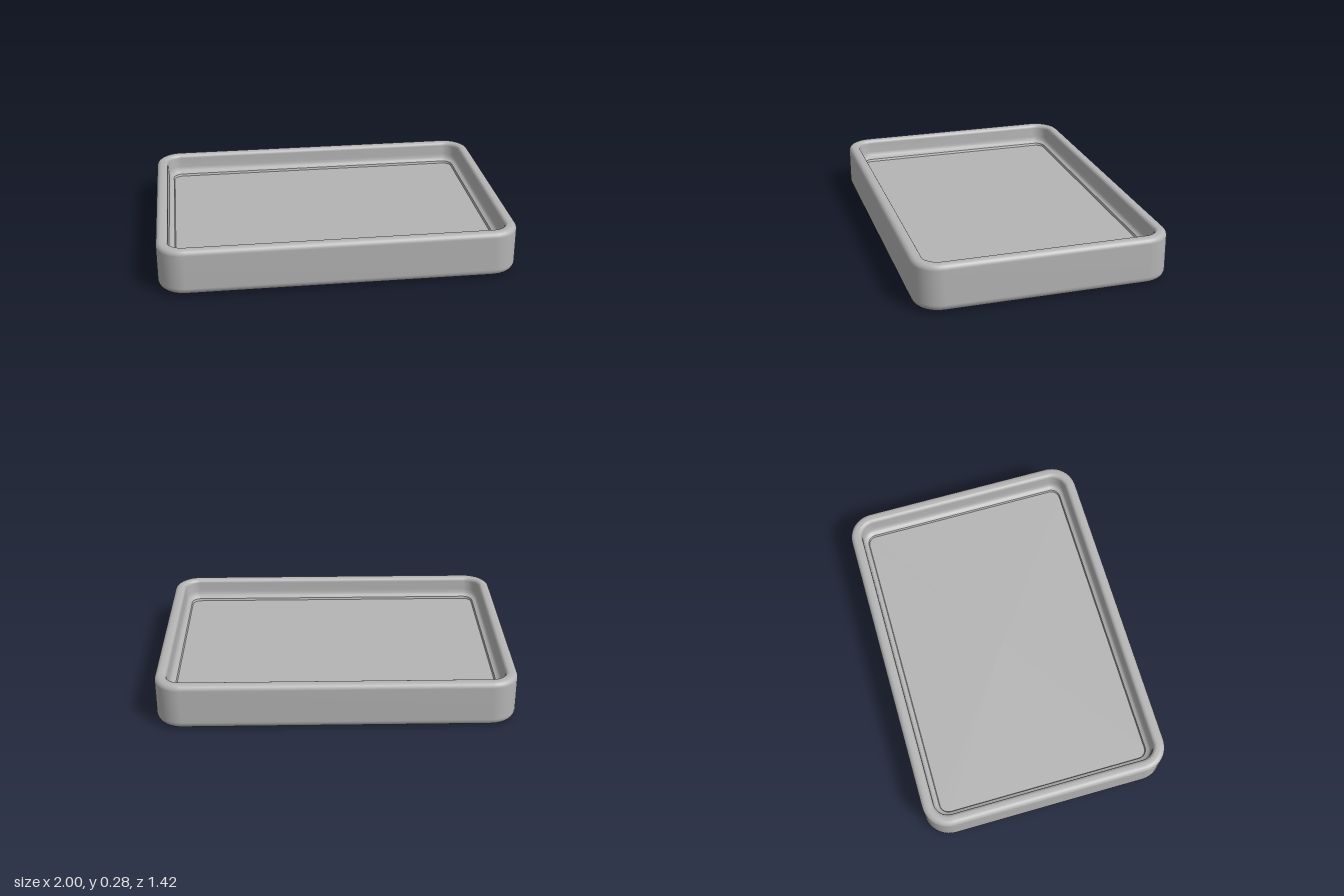
import * as THREE from 'three';

const CORNER_STEPS = 10;

// One rounded-rectangle loop: half width, half depth, corner radius, height
function ring([hx, hz, r, y]) {
  const pts = [];
  for (let q = 0; q < 4; q++) {
    const sx = q === 0 || q === 3 ? 1 : -1;
    const sz = q < 2 ? 1 : -1;
    for (let k = 0; k <= CORNER_STEPS; k++) {
      const a = (q + k / CORNER_STEPS) * Math.PI / 2;
      const x = sx * (hx - r) + r * Math.cos(a);
      const z = sz * (hz - r) + r * Math.sin(a);
      pts.push(x, y + 0.006 * z, z); // slight fall towards the back
    }
  }
  return pts;
}

// Smooth skin through successive loops
function loft(rings) {
  const n = 4 * (CORNER_STEPS + 1);
  const index = [];
  for (let i = 0; i < rings.length - 1; i++) {
    for (let j = 0; j < n; j++) {
      const a = i * n + j, b = i * n + (j + 1) % n;
      index.push(a, a + n, b + n, a, b + n, b);
    }
  }
  const g = new THREE.BufferGeometry();
  g.setAttribute('position', new THREE.Float32BufferAttribute(rings.flatMap(ring), 3));
  g.setIndex(index);
  g.computeVertexNormals();
  return g;
}

// Quarter-round section between two heights, measured as inset from the outside
function arc(cx, cy, rx, ry, from, to, steps, radiusAt) {
  const out = [];
  for (let i = 0; i <= steps; i++) {
    const t = from + (to - from) * i / steps;
    const inset = cx - rx * Math.cos(t);
    out.push([1 - inset, 0.712 - inset, radiusAt(inset), cy + ry * Math.sin(t)]);
  }
  return out;
}

export function createModel() {
  const group = new THREE.Group();
  const grey = new THREE.MeshStandardMaterial({ color: 0xb4b4b4 });
  grey.name = 'grey';
  const add = (name, rings) => {
    const mesh = new THREE.Mesh(loft(rings), grey);
    mesh.name = name;
    group.add(mesh);
  };
  const H = Math.PI / 2;
  const corner = (inset) => Math.max(0.05, 0.15 - inset);

  // Underside, outer wall, rounded rim and inner wall
  add('trayShell', [
    [0, 0, 0, 0.007],
    [0.93, 0.642, 0.08, 0.007],
    ...arc(0.045, 0.052, 0.045, 0.045, -H, 0, 6, corner),
    ...arc(0.03, 0.247, 0.03, 0.03, 0, H, 6, corner),
    ...arc(0.044, 0.255, 0.022, 0.022, H, Math.PI, 5, corner),
    [0.932, 0.645, 0.085, 0.2],
    [0.928, 0.641, 0.08, 0.178],
    [0.918, 0.632, 0.07, 0.166],
    [0.9, 0.616, 0.055, 0.16],
  ]);

  // Small step down from the ledge to the floor
  add('innerStep', [
    [0.9, 0.616, 0.055, 0.16],
    [0.895, 0.612, 0.05, 0.147],
  ]);

  // Flat floor panel
  add('trayFloor', [
    [0.895, 0.612, 0.05, 0.147],
    [0, 0, 0, 0.147],
  ]);

  return group;
}
